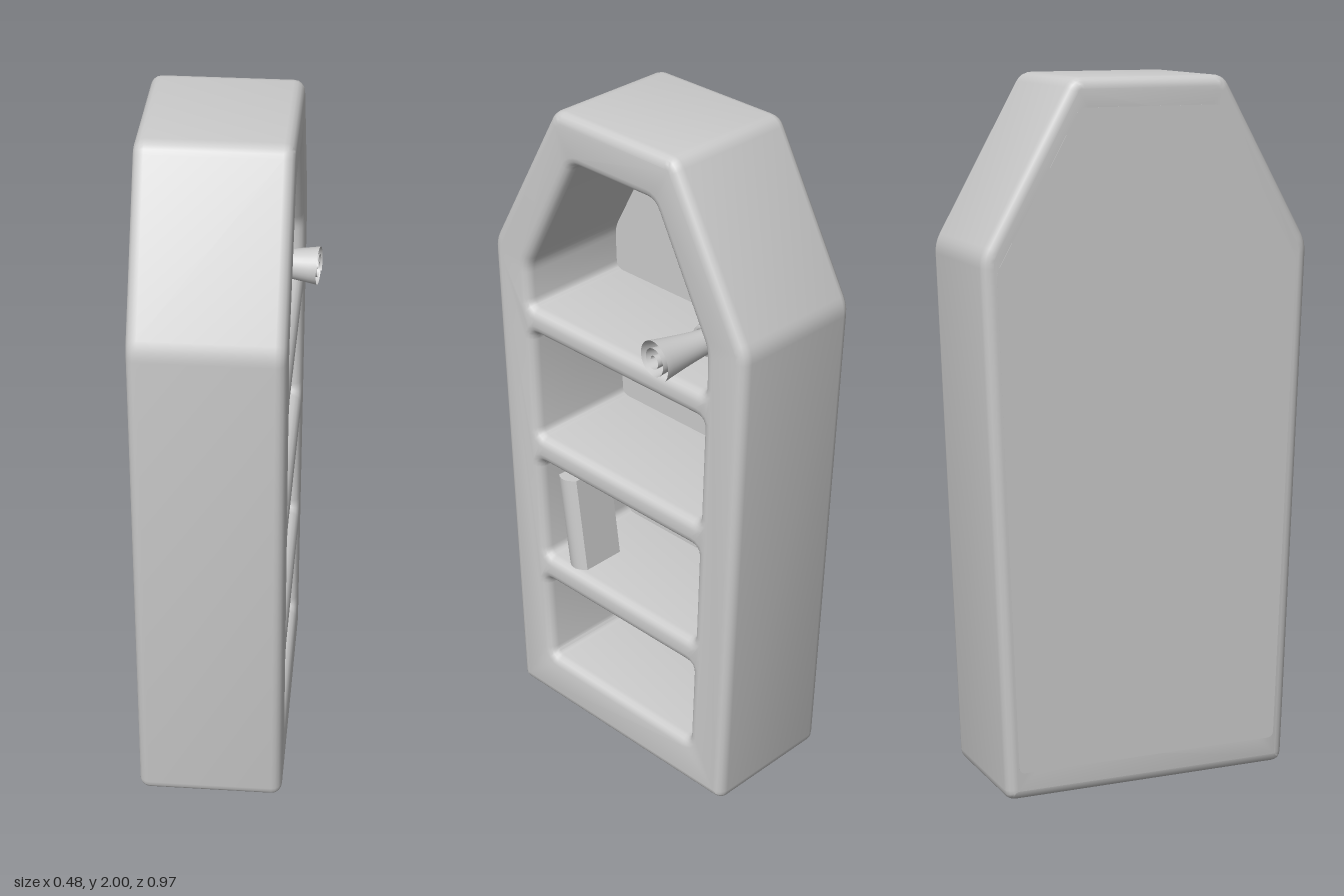
import * as THREE from 'three';
import { toCreasedNormals } from 'three/addons/utils/BufferGeometryUtils.js';

const material = new THREE.MeshStandardMaterial({ color: 0xcccccc });
const thinMaterial = new THREE.MeshStandardMaterial({ color: 0xcccccc, side: THREE.DoubleSide });

function addMesh(parent, name, geometry, mat = material) {
  const mesh = new THREE.Mesh(geometry, mat);
  mesh.name = name;
  parent.add(mesh);
  return mesh;
}

// Closed polygon with softened corners
function roundedPolygon(points, radius, path = new THREE.Shape()) {
  const p = points.map(([x, y]) => new THREE.Vector2(x, y));
  p.forEach((corner, i) => {
    const before = p[(i + p.length - 1) % p.length], after = p[(i + 1) % p.length];
    const a = before.clone().sub(corner).setLength(radius).add(corner);
    const b = after.clone().sub(corner).setLength(radius).add(corner);
    if (i === 0) path.moveTo(a.x, a.y); else path.lineTo(a.x, a.y);
    path.quadraticCurveTo(corner.x, corner.y, b.x, b.y);
  });
  path.closePath();
  return path;
}

const outline = [[-0.43, 0], [0.43, 0], [0.487, 1.53], [0.225, 2], [-0.225, 2], [-0.487, 1.53]];

// Compartment openings, bottom to top
const openings = [
  [[-0.29, 0.155], [0.295, 0.155], [0.305, 0.44], [-0.305, 0.44]],
  [[-0.305, 0.525], [0.31, 0.525], [0.32, 0.855], [-0.32, 0.855]],
  [[-0.325, 0.94], [0.325, 0.94], [0.335, 1.28], [-0.335, 1.28]],
  [[-0.345, 1.36], [0.34, 1.36], [0.34, 1.5], [0.15, 1.86], [-0.155, 1.86], [-0.35, 1.49]],
];

// Coffin-shaped case, open towards +x
function buildCase() {
  const group = new THREE.Group();
  group.name = 'case';
  const bevel = 0.03, back = -0.24, front = 0.18;

  const shape = roundedPolygon(outline, 0.03);
  for (const hole of openings) shape.holes.push(roundedPolygon(hole, 0.025, new THREE.Path()));
  const frame = new THREE.ExtrudeGeometry(shape, {
    depth: front - back - 2 * bevel, curveSegments: 4,
    bevelSize: bevel, bevelThickness: bevel, bevelOffset: -bevel, bevelSegments: 4,
  });
  frame.translate(0, 0, back + bevel).rotateY(Math.PI / 2);
  addMesh(group, 'frameAndShelves', toCreasedNormals(frame, 0.6));

  // Back panel closing the compartments
  const inset = outline.map(([u, y]) => [u * 0.92, 1 + (y - 1) * 0.92]);
  const panel = new THREE.ExtrudeGeometry(roundedPolygon(inset, 0.02), { depth: 0.07, bevelEnabled: false });
  panel.translate(0, 0, back - 0.0005).rotateY(Math.PI / 2);
  addMesh(group, 'backPanel', panel);
  return group;
}

// Rolled sheet, pinched in the middle by a band
function buildScroll() {
  const group = new THREE.Group();
  group.name = 'scroll';
  const length = 0.37, turns = 2.6;
  const sheet = new THREE.PlaneGeometry(1, 1, 80, 16);
  const pos = sheet.attributes.position;
  for (let i = 0; i < pos.count; i++) {
    const t = pos.getX(i) + 0.5, s = pos.getY(i) * 2;
    const flare = 0.038 + 0.028 * Math.pow(Math.abs(s), 1.3);
    const r = flare * (0.15 + 0.85 * t), angle = t * turns * Math.PI * 2;
    pos.setXYZ(i, s * length / 2, r * Math.sin(angle), r * Math.cos(angle));
  }
  sheet.computeVertexNormals();
  addMesh(group, 'rolledSheet', sheet, thinMaterial);

  const band = new THREE.TorusGeometry(0.038, 0.01, 8, 24);
  band.scale(1, 1, 1.6).rotateY(Math.PI / 2);
  addMesh(group, 'band', band);

  group.position.set(0.045, 1.43, -0.225);
  group.rotation.y = -0.12;
  return group;
}

// Leaning book with a rounded spine facing the opening
function buildBook() {
  const width = 0.075, height = 0.3, depth = 0.15;
  const profile = new THREE.Shape();
  profile.moveTo(-depth / 2, -width / 2);
  profile.lineTo(depth / 2 - 0.015, -width / 2);
  profile.quadraticCurveTo(depth / 2 + 0.015, 0, depth / 2 - 0.015, width / 2);
  profile.lineTo(-depth / 2, width / 2);
  profile.closePath();
  const geometry = new THREE.ExtrudeGeometry(profile, { depth: height, bevelEnabled: false, curveSegments: 6 });
  geometry.translate(0, 0, -height / 2).rotateX(-Math.PI / 2);
  const book = new THREE.Mesh(toCreasedNormals(geometry, 0.5), material);
  book.name = 'book';
  book.position.set(0.09, 0.676, 0.212);
  book.rotation.x = 0.135;
  return book;
}

export function createModel() {
  const model = new THREE.Group();
  model.name = 'coffinBookcase';
  model.add(buildCase(), buildScroll(), buildBook());
  return model;
}
